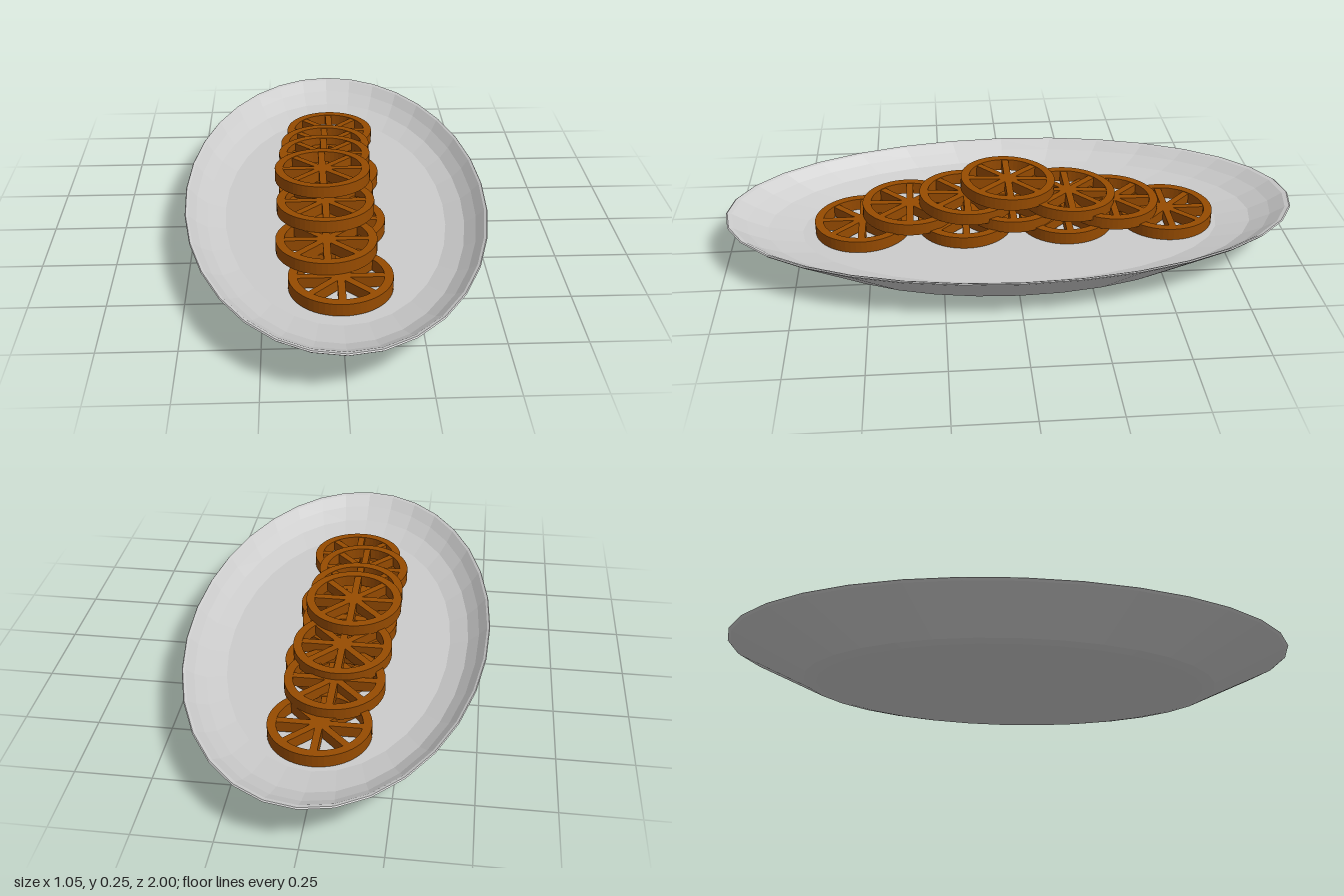
import * as THREE from 'three';

const plateMaterial = new THREE.MeshStandardMaterial({ color: 0xcccccc, flatShading: true });
const ringMaterial = new THREE.MeshStandardMaterial({ color: 0x964b00, flatShading: true });

const RADIUS = 0.167, INNER = 0.138, THICK = 0.042, SPOKE = 0.024;

// Ring lying flat, centred on its origin
function ringGeometry() {
  const shape = new THREE.Shape().absarc(0, 0, RADIUS, 0, Math.PI * 2, false);
  shape.holes.push(new THREE.Path().absarc(0, 0, INNER, 0, Math.PI * 2, true));
  const geometry = new THREE.ExtrudeGeometry(shape, { depth: THICK, bevelEnabled: false, curveSegments: 28 });
  return geometry.translate(0, 0, -THICK / 2).rotateX(-Math.PI / 2);
}

// Oval plate: a lathed closed profile, squeezed in x
function createPlate() {
  const profile = [
    [0, 0], [0.62, 0], [0.68, 0.004], [0.725, 0.014], [0.99, 0.147], [1, 0.155],
    [0.995, 0.158], [0.98, 0.154], [0.93, 0.124], [0.86, 0.094], [0.74, 0.073], [0, 0.073],
  ].map(([r, y]) => new THREE.Vector2(r, y));
  const plate = new THREE.Mesh(new THREE.LatheGeometry(profile, 32), plateMaterial);
  plate.name = 'plate';
  plate.scale.x = 0.525;
  return plate;
}

export function createModel() {
  const model = new THREE.Group();
  model.name = 'plateOfSpokedRings';
  model.add(createPlate());

  const ring = ringGeometry();
  const bar = new THREE.BoxGeometry(INNER * 2 + 0.012, THICK * 0.9, SPOKE);

  // Four stacked layers: height, tilt and [x, z] of each ring
  const layers = [
    { y: 0.097, tilt: 0, at: [[0, -0.555], [0, -0.195], [0, 0.165], [0, 0.527]] },
    { y: 0.134, tilt: -0.03, at: [[-0.023, -0.36], [-0.03, 0], [-0.04, 0.36]] },
    { y: 0.167, tilt: -0.05, at: [[-0.03, -0.205], [-0.037, 0.158]] },
    { y: 0.215, tilt: -0.055, at: [[-0.043, 0.01]] },
  ];
  layers.forEach(({ y, tilt, at }) => at.forEach(([x, z]) => {
    const wheel = new THREE.Group();
    wheel.name = 'spokedRing';
    const rim = new THREE.Mesh(ring, ringMaterial);
    rim.name = 'rim';
    wheel.add(rim);
    // Four crossing bars make eight spokes
    for (let i = 0; i < 4; i++) {
      const spoke = new THREE.Mesh(bar, ringMaterial);
      spoke.name = 'spokePair';
      spoke.rotation.y = i * Math.PI / 4;
      wheel.add(spoke);
    }
    wheel.position.set(x, y, z);
    wheel.rotation.x = tilt;
    model.add(wheel);
  }));
  return model;
}
